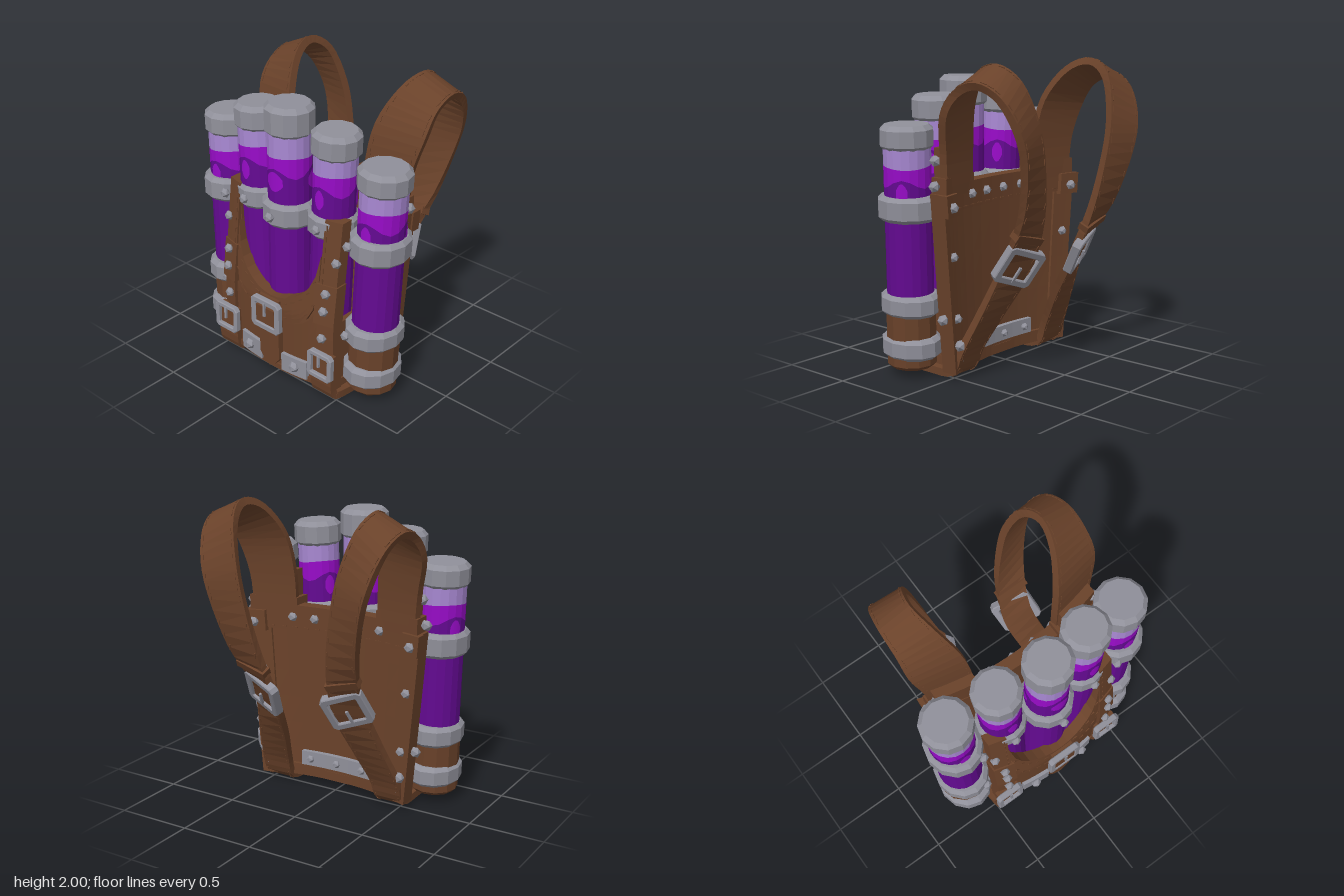
import * as THREE from 'three';

const mat = (name, color) => Object.assign(new THREE.MeshStandardMaterial({ color }), { name });
const leather = mat('leather', 0x6a422a), metal = mat('metal', 0x90909a), liquid = mat('liquid', 0x640a92);
const foam = mat('liquid surface', 0x980cc8), glass = mat('glass', 0xa888d2);
const V = (x, y, z) => new THREE.Vector3(x, y, z);

function add(parent, name, geo, material) {
  const g = geo.index ? geo.toNonIndexed() : geo;
  g.computeVertexNormals(); // faceted normals
  const m = new THREE.Mesh(g, material);
  m.name = name;
  parent.add(m);
  return m;
}

// Joins equal rings of points into a closed solid facing outwards
function loft(rings) {
  const m = rings[0].length, tris = [];
  for (let i = 0; i + 1 < rings.length; i++) for (let k = 0; k < m; k++) {
    const a = rings[i], b = rings[i + 1], j = (k + 1) % m;
    tris.push([a[k], b[k], b[j]], [a[k], b[j], a[j]]);
  }
  const s = rings[0], e = rings[rings.length - 1];
  for (let k = 0; k < m / 2 - 1; k++) {
    const p = m - 2 - k, q = m - 1 - k;
    tris.push([s[k], s[k + 1], s[p]], [s[k], s[p], s[q]], [e[k], e[p], e[k + 1]], [e[k], e[q], e[p]]);
  }
  let vol = 0;
  for (const [a, b, c] of tris) vol += a.dot(b.clone().cross(c));
  const pts = tris.flatMap(([a, b, c]) => (vol < 0 ? [a, c, b] : [a, b, c]));
  return new THREE.BufferGeometry().setFromPoints(pts);
}

// Bent plate: columns of [x, bottom, top] laid on the surface z = f(x, y), between two offsets
const straight = (x) => x;
function panel(cols, f, d0, d1, rows = 6, lean = straight) {
  return loft(cols.map(([x, lo, hi]) => {
    const ring = [], point = (i, d) => {
      const y = lo + (hi - lo) * i / rows;
      ring.push(V(lean(x, y), y, f(x, y) + d));
    };
    for (let i = 0; i <= rows; i++) point(i, d1);
    for (let i = rows; i >= 0; i--) point(i, d0);
    return ring;
  }));
}
const span = (x0, x1, lo, hi, n = 4) =>
  Array.from({ length: n + 1 }, (_, i) => [x0 + (x1 - x0) * i / n, lo, hi]);
const frontZ = (x, y) => 0.555 - 0.3 * x * x - 0.13 * Math.max(0, y - 0.55);
const backZ = (x) => 0.07 - 0.23 * x * x;
const taper = (x, y) => x * (1 - 0.13 * (1.2 - y)); // the back narrows downwards

function stud(parent, x, y, z, r = 0.033) {
  add(parent, 'stud', new THREE.IcosahedronGeometry(r, 0), metal).position.set(x, y, z);
}

// Square frame with a prong, facing +z
function buckle(parent, w, h, t, depth = 0.03) {
  const g = new THREE.Group();
  g.name = 'buckle';
  const rect = (P, a, b, c) => new P([[-a + c, -b], [a - c, -b], [a, -b + c], [a, b - c], [a - c, b], [-a + c, b], [-a, b - c], [-a, -b + c]]
    .map(([x, y]) => new THREE.Vector2(x, y)));
  const s = rect(THREE.Shape, w / 2, h / 2, 0.02);
  s.holes.push(rect(THREE.Path, w / 2 - t, h / 2 - t, 0.008));
  add(g, 'buckleFrame', new THREE.ExtrudeGeometry(s, { depth, bevelEnabled: true, bevelSize: 0.006, bevelThickness: 0.006, bevelSegments: 1 }), metal);
  add(g, 'bucklePin', new THREE.BoxGeometry(0.016, h * 0.45, 0.016), metal).position.set(0, h * 0.2, depth + 0.005);
  parent.add(g);
  return g;
}

// Bevelled metal ring or cap
function collar(parent, name, r, y0, y1, material = metal, bevel = 0.025) {
  const p = [[0, y0], [r - bevel, y0], [r, y0 + bevel], [r, y1 - bevel], [r - bevel, y1], [0, y1]];
  return add(parent, name, new THREE.LatheGeometry(p.map(([x, y]) => new THREE.Vector2(x, y)), 12), material);
}

// Open tube wall whose two rims follow functions of the angle
function wall(parent, name, r, lo, hi, material, start = 0, len = Math.PI * 2) {
  const g = new THREE.CylinderGeometry(r, r, 1, 18, 1, true, start, len), p = g.attributes.position;
  for (let i = 0; i < p.count; i++) {
    const a = Math.atan2(p.getX(i), p.getZ(i));
    p.setY(i, p.getY(i) > 0 ? hi(a) : lo(a));
  }
  add(parent, name, g, material);
}

function vial(parent, o) {
  const g = new THREE.Group(), base = V(...o.base), dir = V(...o.top).sub(base);
  g.name = 'vial';
  g.quaternion.setFromUnitVectors(V(0, 1, 0), dir.normalize());
  g.position.copy(base).addScaledVector(dir, -base.y / dir.y);
  const wave = (a) => o.fill - 0.1 + 0.03 * Math.sin(3 * a + 1.5);
  const rim = (a) => o.fill + 0.008 * Math.sin(2 * a), c = (y) => () => y;
  wall(g, 'liquid', o.r, c(0.1), wave, liquid);
  wall(g, 'liquidSurface', o.r, wave, rim, foam);
  wall(g, 'glass', o.r, rim, c(o.cap + 0.03), glass);
  // bright glints in the liquid
  for (const a of [0, 2.1, 4.2]) {
    const k = (t) => (1 - Math.cos(t - a)) / (1 - Math.cos(o.glint));
    wall(g, 'glint', o.r + 0.004, (t) => o.fill - 0.22 + 0.045 * k(t), (t) => o.fill - 0.09 - 0.045 * k(t),
      foam, a - o.glint, 2 * o.glint);
  }
  collar(g, 'cap', o.r + 0.02, o.cap, o.top[1], metal, 0.03);
  for (const [y0, y1, r, deep = 1] of o.bands) collar(g, 'band', r, y0, y1).scale.z = deep;
  if (o.cup) collar(g, 'leatherCup', o.r + 0.012, 0.06, 0.45, leather);
  parent.add(g);
}

// Shoulder strap: [position, width direction, half width]; runs over the loop, under the base and up the front
const strapKeys = [
  [.46, 1.18, .0, .97, 0, -.2, .15], [.475, 1.45, -.01, .97, 0, -.2, .16], [.52, 1.7, -.06, .97, -.1, -.2, .17],
  [.555, 1.87, -.18, .93, -.33, -.12, .14], [.57, 1.925, -.34, .9, -.42, -.08, .12], [.54, 1.84, -.49, .92, -.35, -.12, .12],
  [.485, 1.63, -.575, .95, -.15, -.2, .12], [.43, 1.4, -.58, .95, 0, -.2, .115], [.36, 1.07, -.51, .92, .15, -.05, .11],
  [.31, .76, -.36, .85, .3, .2, .105], [.36, .45, -.2, .95, .1, .08, .105], [.42, .2, -.075, 1, 0, 0, .105],
  [.43, .045, .0, 1, 0, 0, .1], [.425, .025, .2, 1, 0, 0, .1], [.425, .03, .45, 1, 0, 0, .09],
  [.42, .08, .53, 1, 0, 0, .085], [.42, .34, .53, 1, 0, 0, .085]];

function strap(parent, s) {
  const pos = new THREE.CatmullRomCurve3(strapKeys.map((k) => V(s * k[0], k[1], k[2])), false, 'catmullrom');
  const wid = new THREE.CatmullRomCurve3(strapKeys.map((k) => V(s * k[3], k[4], k[5]).normalize().multiplyScalar(k[6])), false, 'catmullrom');
  const frame = (u) => {
    const p = pos.getPoint(u), t = pos.getTangent(u), w = wid.getPoint(u);
    return { p, w, n: w.clone().cross(t).normalize().multiplyScalar(s) };
  };
  const N = 64, at = (f, a, b) => f.p.clone().addScaledVector(f.w, a).addScaledVector(f.n, b);
  const rings = Array.from({ length: N + 1 }, (_, i) => {
    const f = frame(i / N);
    return [at(f, -1, 0.025), at(f, 1, 0.025), at(f, 1, -0.025), at(f, -1, -0.025)];
  });
  add(parent, 'shoulderStrap', loft(rings), leather);
  const place = (o, f, a, b) => {
    const x = f.w.clone().normalize().multiplyScalar(s);
    o.setRotationFromMatrix(new THREE.Matrix4().makeBasis(x, f.n.clone().cross(x).normalize(), f.n));
    o.position.copy(at(f, a, b));
  };
  // dashed seams along both edges
  for (let i = 4; i < 46; i++) for (const a of [-0.85, 0.85]) {
    if (i % 4 === 3) continue;
    place(add(parent, 'strapStitch', new THREE.BoxGeometry(0.007, 0.04, 0.006), leather), frame(i / 60), a, 0.026);
  }
  const key = (i) => frame(i / (strapKeys.length - 1));
  place(buckle(parent, 0.27, 0.25, 0.034, 0.05), key(9), 0, -0.01);
  place(buckle(parent, 0.19, 0.18, 0.022), key(15.72), 0, 0.015);
  // leather keeper above the buckle
  place(add(parent, 'strapKeeper', new THREE.BoxGeometry(0.225, 0.05, 0.07), leather), key(8.4), 0, 0);
}

export function createModel() {
  const root = new THREE.Group();
  root.name = 'vialBackpack';

  // Vials
  vial(root, { base: [0, .1, .385], top: [0, 1.88, .365], r: .14, fill: 1.55, cap: 1.68, glint: .45, bands: [[1.09, 1.25, .178]] });
  for (const s of [1, -1]) {
    vial(root, { base: [s * .265, .1, .32], top: [s * .33, 1.78, .305], r: .138, fill: 1.51, cap: 1.61, glint: .24, bands: [[1.09, 1.24, .165]] });
    vial(root, { base: [s * .6, .07, .275], top: [s * .655, 1.62, .243], r: .15, fill: 1.36, cap: 1.46, glint: .24, cup: true,
      bands: [[.13, .27, .178, 1.15], [.41, .55, .18, 1.13], [1.02, 1.18, .185, 1.1]] });
  }

  // Front pouch with U-shaped opening
  const half = [[0, .6], [.06, .605], [.12, .62], [.18, .65], [.24, .69], [.29, .75], [.33, .84], [.355, .98], [.37, 1.22], [.42, 1.23], [.47, 1.2]];
  const full = [...half.slice(1).reverse().map(([x, y]) => [-x, y]), ...half];
  add(root, 'frontPouch', panel(full.map(([x, y]) => [x, .07, y]), frontZ, -.05, 0), leather);
  add(root, 'pouchTrim', panel(full.filter(([x]) => Math.abs(x) < .36).map(([x, y]) => [x, y - .12 - .3 * Math.abs(x), y + .012]), frontZ, -.055, .02), leather);
  add(root, 'pouchHem', panel(span(-.46, .46, .06, .1, 10), frontZ, -.05, .012, 1), leather);
  add(root, 'pouchFloor', new THREE.BoxGeometry(.94, .06, .48), leather).position.set(0, .08, .26);
  for (const [x, y] of full.filter(([x]) => Math.abs(x) < .34))
    for (const d of [.025, .1 + .25 * Math.abs(x)]) {
      const m = add(root, 'trimStitch', new THREE.BoxGeometry(.035, .007, .006), leather);
      m.position.set(x, y - d, frontZ(x, y - d) + .022);
      m.rotation.z = x * 2.4;
    }

  // Centre flap, its buckle and loop
  add(root, 'centreFlap', panel([[-.085, .16, .6], [-.045, .11, .6], [0, .085, .6], [.045, .11, .6], [.085, .16, .6]], frontZ, 0, .04), leather);
  add(root, 'flapLoop', new THREE.BoxGeometry(.16, .12, .05), leather).position.set(0, .48, .6);
  buckle(root, .235, .215, .03).position.set(0, .485, .595);

  for (const s of [1, -1]) {
    // Front uprights
    const edge = (a, b, lo, hi, n) => span(s * a, s * b, lo, hi, n);
    add(root, 'frontUpright', panel(edge(.365, .48, .05, 1.24, 2), frontZ, -.055, .025), leather);
    add(root, 'uprightCuff', panel(edge(.35, .49, .55, .82, 2), frontZ, -.05, .035, 2), leather);
    add(root, 'pouchSide', new THREE.BoxGeometry(.04, .46, .42), leather).position.set(s * .44, .3, .26);
    for (const [x, y, d] of [[.425, .77, .045], [.42, .65, .045], [.41, .45, .035], [.465, .98, .03]])
      stud(root, s * x, y, frontZ(x, y) + d);
    for (let y = .84; y < 1.2; y += .07)
      add(root, 'uprightStitch', new THREE.BoxGeometry(.007, .04, .006), leather).position.set(s * .385, y, frontZ(.385, y) + .027);
    // Lower metal plates and band studs
    add(root, 'lowerPlate', panel(edge(.09, .29, .08, .21, 3), frontZ, 0, .025, 1), metal);
    stud(root, s * .2, .15, frontZ(.2, .15) + .03, .038);
    stud(root, s * .31, 1.16, .475);
    stud(root, s * .53, .48, .45);
    stud(root, s * .53, 1.11, .435);

    // Back uprights and strap anchors
    add(root, 'backUpright', panel(edge(.5, .65, .04, 1.2, 3), backZ, -.035, .08, 6, taper), leather);
    add(root, 'backUprightTip', panel(edge(.52, .66, 1.06, 1.2, 2), backZ, -.07, 0, 2, taper), leather);
    add(root, 'strapAnchor', panel(edge(.3, .63, 1.17, 1.3, 4), backZ, -.045, .08, 2), leather);
    add(root, 'strapAnchorTop', panel(edge(.33, .6, 1.28, 1.48, 3), backZ, .005, .075, 2), leather);
    for (const y of [.14, .4, .8]) stud(root, s * taper(.58, y), y, backZ(.58) - .04);
    stud(root, s * .59, 1.12, backZ(.58) - .08, .036);
    for (const [x, y, z] of [[.6, .4, .0], [.655, 1.25, .01]]) stud(root, s * x, y, z, .038);
    stud(root, s * .6, 1.4, .05, .04);
    stud(root, s * .52, .23, -.07, .04);
    for (const x of [.17, .33]) stud(root, s * x, 1.17, backZ(x) - .05);
    strap(root, s);
  }
  stud(root, 0, 1.17, .562);

  // Back panel, top band and lower plate
  add(root, 'backPanel', panel(span(-.6, .6, .06, 1.15, 12), backZ, -.02, .03, 6, taper), leather);
  add(root, 'backTopBand', panel(span(-.52, .52, 1.08, 1.25, 10), backZ, -.045, .045, 2), leather);
  add(root, 'backBottomBand', panel(span(-.52, .52, .05, .13, 10), backZ, -.045, .045, 1, taper), leather);
  add(root, 'backPlate', panel(span(-.27, .27, .13, .23, 6), backZ, -.055, 0, 1), metal);
  for (const x of [-.2, 0, .2]) stud(root, x, .18, backZ(x) - .06, .028);
  stud(root, 0, 1.17, backZ(0) - .05);
  for (let x = -.48; x < .5; x += .08)
    add(root, 'bandStitch', new THREE.BoxGeometry(.045, .007, .006), leather).position.set(x, 1.1, backZ(x) - .047);
  return root;
}
